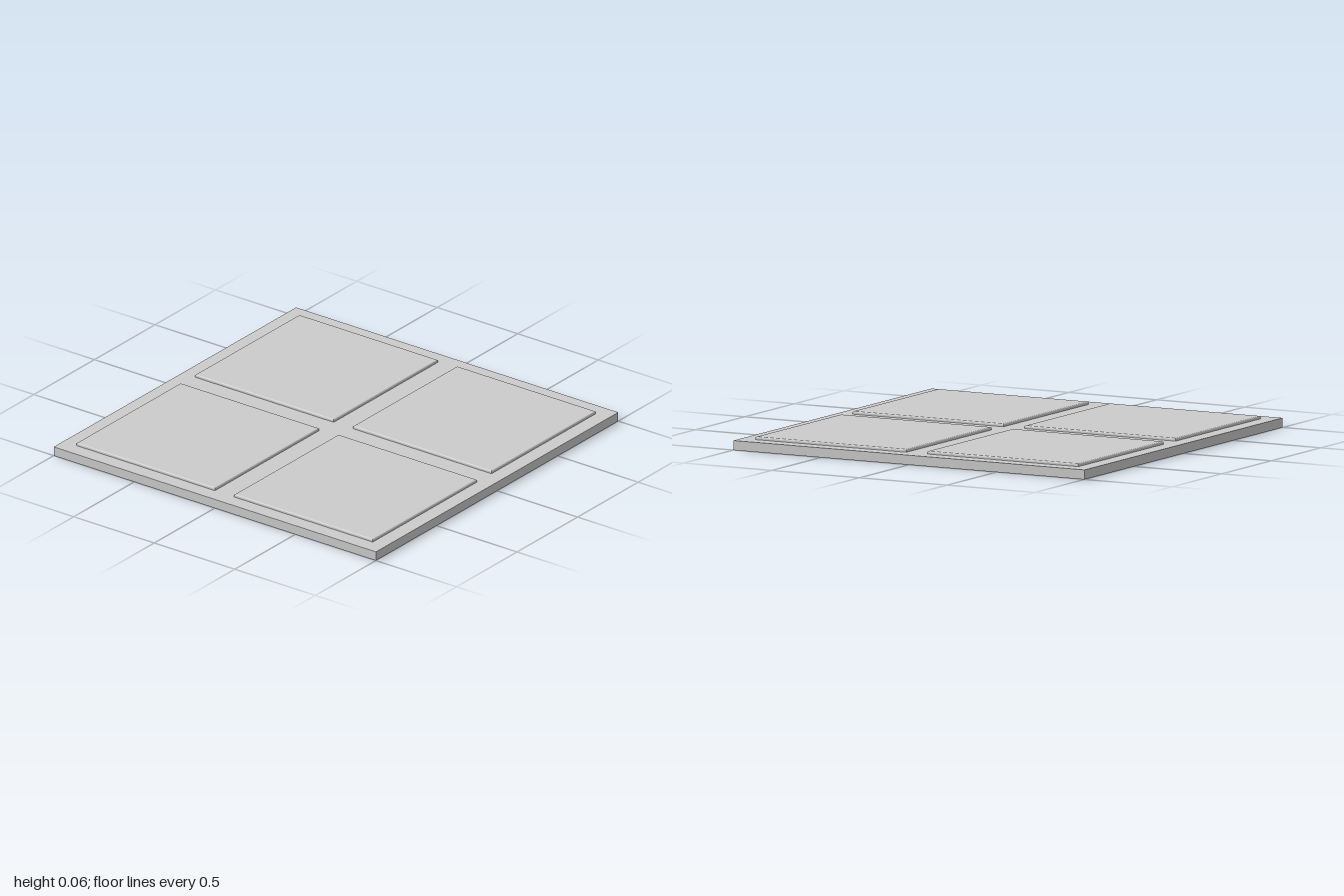
import * as THREE from 'three';

const SLAB_HEIGHT = 0.048;
const TILE_TOP = 0.063;
const TILE_SIZE = 0.86;
const TILE_OFFSET = 0.49;
const BEVEL = 0.007;
const TILE_DEPTH = 0.02;

// Square plate with softened edges; its lower part is sunk into the slab
function tileGeometry() {
  const h = TILE_SIZE / 2 - BEVEL;
  const outline = new THREE.Shape([
    new THREE.Vector2(-h, -h),
    new THREE.Vector2(h, -h),
    new THREE.Vector2(h, h),
    new THREE.Vector2(-h, h),
  ]);
  const geometry = new THREE.ExtrudeGeometry(outline, {
    depth: TILE_DEPTH,
    bevelEnabled: true,
    bevelSize: BEVEL,
    bevelThickness: BEVEL,
    bevelSegments: 3,
  });
  geometry.rotateX(-Math.PI / 2);
  geometry.translate(0, TILE_TOP - BEVEL - TILE_DEPTH, 0);
  return geometry;
}

export function createModel() {
  const model = new THREE.Group();
  model.name = 'tiledPanel';
  const material = new THREE.MeshStandardMaterial({ color: 0xcccccc });

  // Base slab
  const slab = new THREE.Mesh(new THREE.BoxGeometry(2, SLAB_HEIGHT, 2), material);
  slab.name = 'baseSlab';
  slab.position.y = SLAB_HEIGHT / 2;
  model.add(slab);

  // Four raised tiles, one per quadrant
  const geometry = tileGeometry();
  for (const [zName, z] of [['front', 1], ['back', -1]]) {
    for (const [xName, x] of [['Left', 1], ['Right', -1]]) {
      const tile = new THREE.Mesh(geometry, material);
      tile.name = `${zName}${xName}Tile`;
      tile.position.set(x * TILE_OFFSET, 0, z * TILE_OFFSET);
      model.add(tile);
    }
  }
  return model;
}
